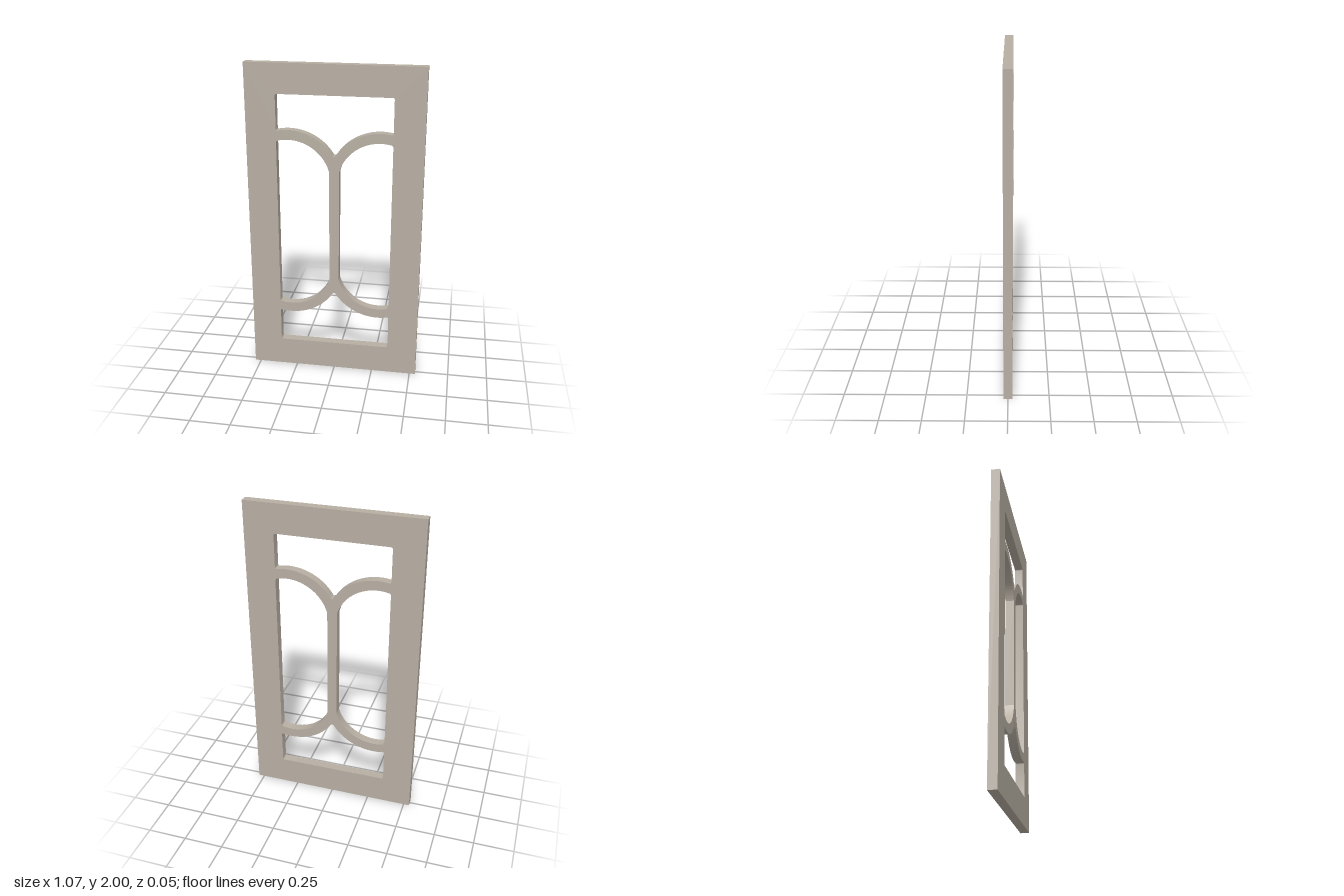
import * as THREE from 'three';
import { toCreasedNormals } from 'three/addons/utils/BufferGeometryUtils.js';

const W = 0.537, H = 2, T = 0.055;     // panel half width, height, thickness
const X = 0.352, TOP = 1.818;          // opening half width and top edge
const BAR = 0.03, F = 0.012;           // half width of the centre bar, corner fillet
const CX = 0.28, CY = 1.2855;          // centre of the tracery arcs
const R_IN = 0.2595, R_OUT = 0.3195;

// Height of an arc above its centre, and its angle, at offset dx
const rise = (r, dx) => Math.sqrt(r * r - dx * dx);
const angle = (r, dx) => Math.acos(dx / r);

// Opening above the two arches, with a softened cusp in the middle
function endOpening() {
  const p = new THREE.Path();
  const side = CY + rise(R_OUT, X - CX), d = X - CX - F, c = 0.015;
  p.moveTo(-X + F, TOP);
  p.lineTo(X - F, TOP);
  p.quadraticCurveTo(X, TOP, X, TOP - F);
  p.lineTo(X, side + F);
  p.quadraticCurveTo(X, side, X - F, CY + rise(R_OUT, d));
  p.absarc(CX, CY, R_OUT, angle(R_OUT, d), angle(R_OUT, c - CX), false);
  p.quadraticCurveTo(0, CY + rise(R_OUT, CX), -c, CY + rise(R_OUT, CX - c));
  p.absarc(-CX, CY, R_OUT, angle(R_OUT, CX - c), angle(R_OUT, -d), false);
  p.quadraticCurveTo(-X, side, -X, side + F);
  p.lineTo(-X, TOP - F);
  p.quadraticCurveTo(-X, TOP, -X + F, TOP);
  return p.getPoints(24);
}

// Tall opening between the centre bar and one stile
function sideOpening() {
  const p = new THREE.Path();
  const side = CY + rise(R_IN, X - CX), d = X - CX - F;
  const a0 = angle(R_IN, BAR - CX), a1 = angle(R_IN, d);
  p.moveTo(BAR, H - CY - rise(R_IN, BAR - CX));
  p.lineTo(BAR, CY + rise(R_IN, BAR - CX));
  p.absarc(CX, CY, R_IN, a0, a1, true);
  p.quadraticCurveTo(X, side, X, side - F);
  p.lineTo(X, H - side + F);
  p.quadraticCurveTo(X, H - side, X - F, H - CY - rise(R_IN, d));
  p.absarc(CX, H - CY, R_IN, -a1, -a0, true);
  return p.getPoints(24);
}

export function createModel() {
  const group = new THREE.Group();
  group.name = 'traceryPanel';

  const outline = new THREE.Shape([
    new THREE.Vector2(-W, 0), new THREE.Vector2(W, 0),
    new THREE.Vector2(W, H), new THREE.Vector2(-W, H),
  ]);

  // Openings mirrored top to bottom and left to right
  const end = endOpening(), side = sideOpening();
  const openings = [
    end, end.map(v => new THREE.Vector2(v.x, H - v.y)),
    side, side.map(v => new THREE.Vector2(-v.x, v.y)),
  ];
  for (const points of openings) outline.holes.push(new THREE.Path(points));

  const geometry = new THREE.ExtrudeGeometry(outline, { depth: T, bevelEnabled: false });
  geometry.translate(0, 0, -T / 2);

  const panel = new THREE.Mesh(
    toCreasedNormals(geometry, 0.2),
    new THREE.MeshStandardMaterial({ color: 0xb8afa3 }),
  );
  panel.name = 'frameWithTracery';
  group.add(panel);
  return group;
}
